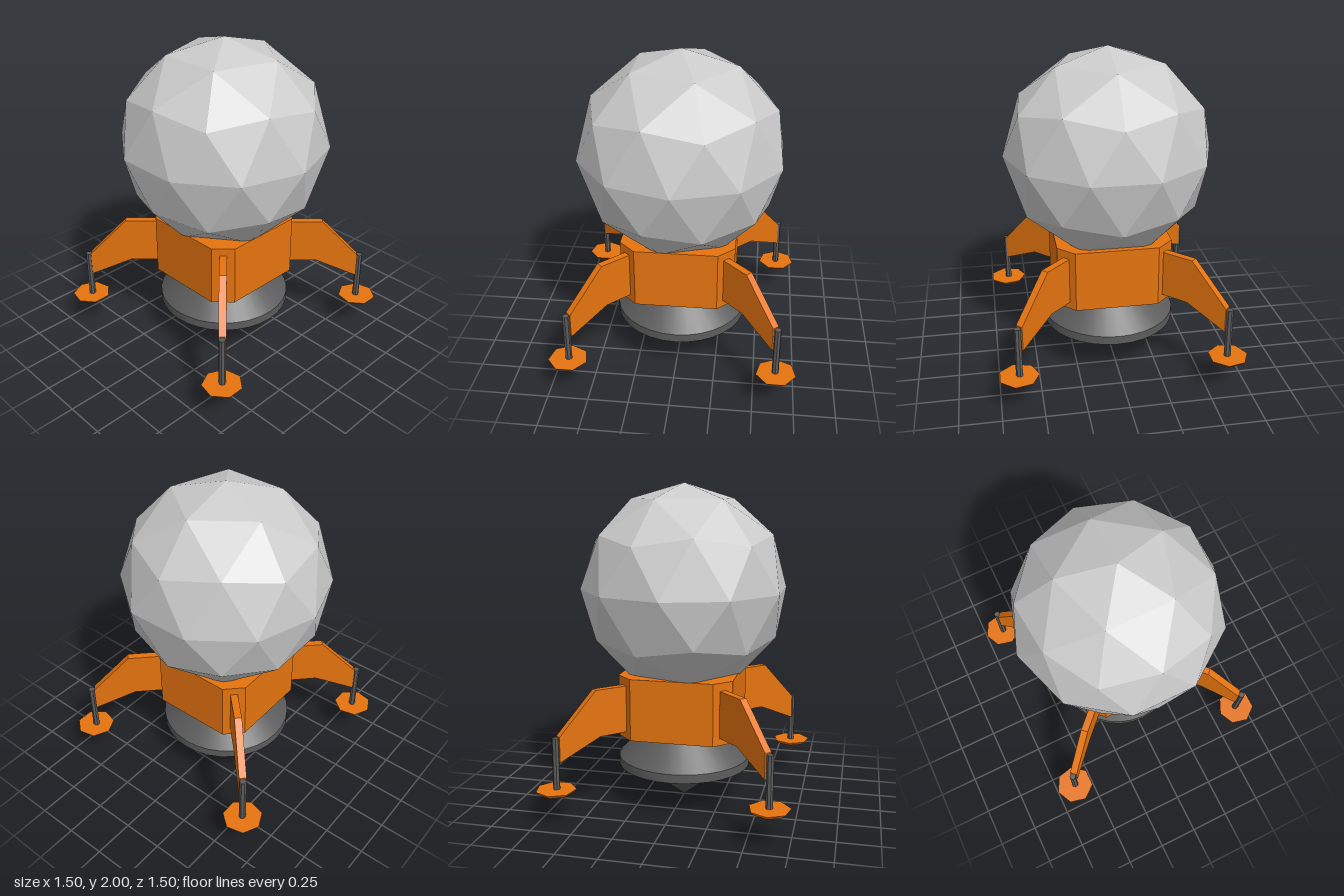
import * as THREE from 'three';
import { toCreasedNormals } from 'three/addons/utils/BufferGeometryUtils.js';

const mat = (color, flatShading = false) => new THREE.MeshStandardMaterial({ color, flatShading });

function addMesh(parent, name, geometry, material, x = 0, y = 0, z = 0) {
  const mesh = new THREE.Mesh(geometry, material);
  mesh.name = name;
  mesh.position.set(x, y, z);
  parent.add(mesh);
  return mesh;
}

const shapeOf = (pts) => new THREE.Shape(pts.map(([x, y]) => new THREE.Vector2(x, y)));

export function createModel() {
  const model = new THREE.Group();
  model.name = 'lander';
  const grey = mat(0xcccccc, true);
  const orange = mat(0xe6740f, true);
  const dark = mat(0x5c5c5c);
  const darkFlat = mat(0x5c5c5c, true);

  // Faceted cabin ball, turned so that one vertex points straight up
  const ball = new THREE.IcosahedronGeometry(0.645, 1);
  ball.rotateZ(-Math.atan(2 / (1 + Math.sqrt(5))));
  addMesh(model, 'cabin', ball, grey, 0, 1.355, 0);

  // Square body with chamfered corners
  const h = 0.355, c = 0.255;
  const outline = [[h, -c], [h, c], [c, h], [-c, h], [-h, c], [-h, -c], [-c, -h], [c, -h]];
  const body = new THREE.ExtrudeGeometry(shapeOf(outline), { depth: 0.385, bevelEnabled: false });
  body.rotateX(-Math.PI / 2);
  addMesh(model, 'body', body, orange, 0, 0.455, 0);

  // Engine bell with a thick rim, recessed underneath
  const bellProfile = [[0.32, 0.255], [0.37, 0.255], [0.37, 0.23], [0.42, 0.23], [0.42, 0.285], [0.25, 0.457]]
    .map(([r, y]) => new THREE.Vector2(r, y));
  addMesh(model, 'engineBell', toCreasedNormals(new THREE.LatheGeometry(bellProfile, 32), 0.5), dark);

  // Cone hanging below the bell
  addMesh(model, 'engineCone', new THREE.CylinderGeometry(0.335, 0, 0.255, 32, 1, true), dark, 0, 0.1275, 0);

  // Bent arm, profile laid out along the diagonal
  const d = Math.SQRT2;
  const armProfile = [[0.28, 0.5], [0.43, 0.5], [0.617, 0.385], [0.617, 0.54], [0.447, 0.79], [0.28, 0.79]]
    .map(([x, y]) => [x * d, y]);
  const arm = new THREE.ExtrudeGeometry(shapeOf(armProfile), { depth: 0.045, bevelEnabled: false });
  arm.translate(0, 0, -0.0225);
  const post = new THREE.CylinderGeometry(0.021, 0.021, 0.32, 7);
  const foot = new THREE.CylinderGeometry(0.1225, 0.1, 0.022, 7);
  foot.rotateY(Math.PI);

  // Four legs on the corners
  for (const [side, sx] of [['Left', 1], ['Right', -1]]) {
    for (const [end, sz] of [['front', 1], ['back', -1]]) {
      const leg = new THREE.Group();
      leg.name = `${end}${side}Leg`;
      addMesh(leg, 'arm', arm, orange).rotation.y = Math.atan2(-sz, sx);
      addMesh(leg, 'post', post, darkFlat, sx * 0.63, 0.373, sz * 0.628);
      addMesh(leg, 'foot', foot, orange, sx * 0.633, 0.209, sz * 0.632);
      model.add(leg);
    }
  }

  model.position.z = 0.007;
  return model;
}
